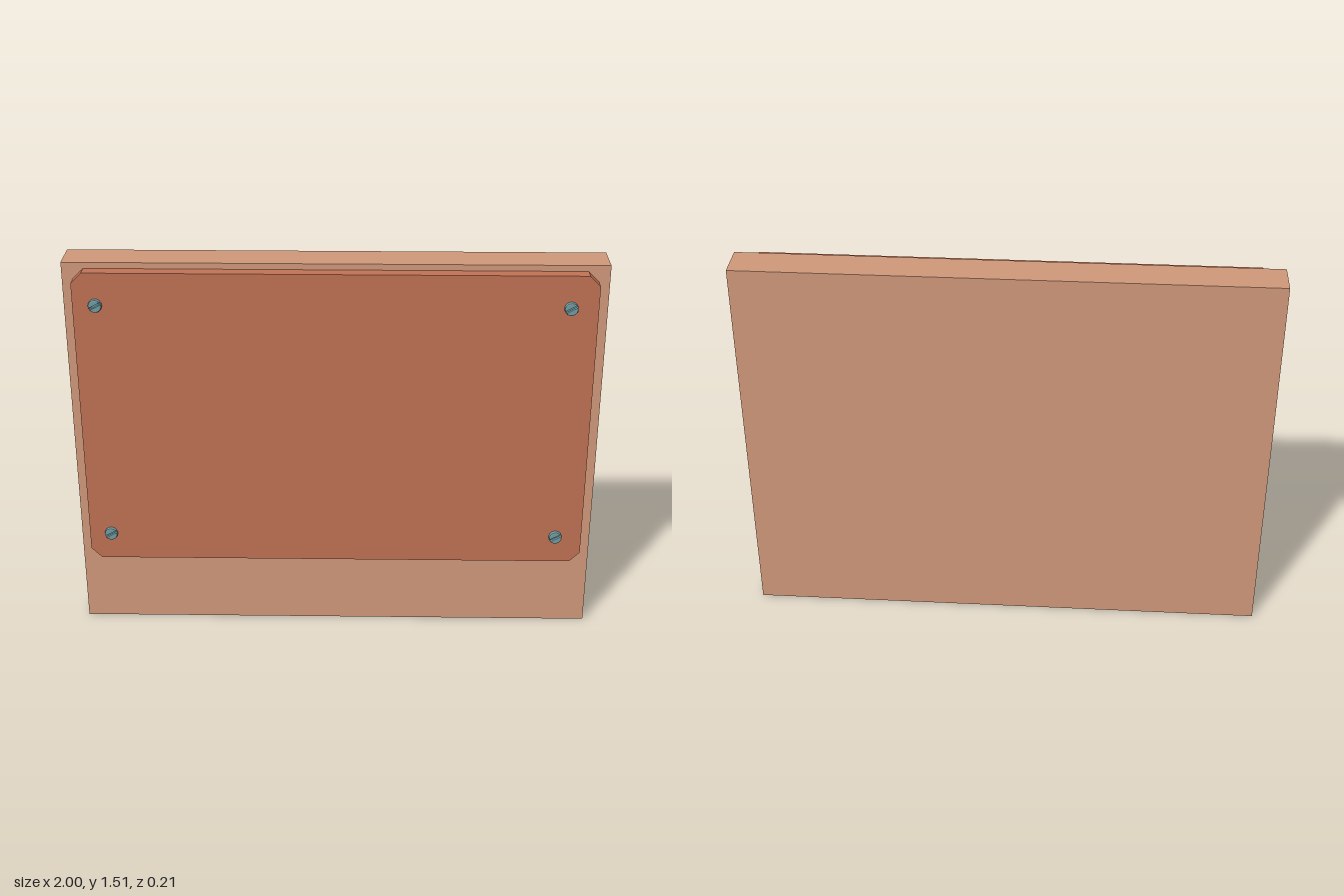
import * as THREE from 'three';

const material = (name, color) => new THREE.MeshStandardMaterial({ name, color });

// Rectangle with cut corners
function cutCornerShape(x0, x1, y0, y1, c) {
  return new THREE.Shape([
    [x0 + c, y0], [x1 - c, y0], [x1, y0 + c], [x1, y1 - c],
    [x1 - c, y1], [x0 + c, y1], [x0, y1 - c], [x0, y0 + c],
  ].map(([x, y]) => new THREE.Vector2(x, y)));
}

// Slotted screw: a low base disc and two bevelled half heads with a gap between
function createScrew(steel) {
  const screw = new THREE.Group();
  screw.name = 'screw';
  const base = new THREE.Mesh(new THREE.CylinderGeometry(0.023, 0.023, 0.01, 20), steel);
  base.name = 'screwBase';
  base.rotation.x = Math.PI / 2;
  screw.add(base);

  const gap = 0.13;
  const half = new THREE.Shape();
  half.absarc(0, 0, 0.025, gap, Math.PI - gap, false);
  half.closePath();
  const headGeometry = new THREE.ExtrudeGeometry(half, {
    depth: 0.01, curveSegments: 12, bevelEnabled: true, bevelSegments: 2,
    bevelThickness: 0.005, bevelSize: 0.005, bevelOffset: -0.005,
  });
  for (const turn of [0, Math.PI]) {
    const head = new THREE.Mesh(headGeometry, steel);
    head.name = 'screwHeadHalf';
    head.rotation.z = turn;
    screw.add(head);
  }
  return screw;
}

export function createModel() {
  const model = new THREE.Group();
  model.name = 'boardWithPlate';
  const wood = material('light wood', 0xcf987a);
  const copper = material('red brown', 0xc07254);
  const steel = material('blue grey steel', 0x6f9ca3);

  // Backing board
  const board = new THREE.Mesh(new THREE.BoxGeometry(2, 1.508, 0.142), wood);
  board.name = 'backingBoard';
  board.position.set(0, 0.754, -0.032);
  model.add(board);

  // Front plate with cut corners
  const plate = new THREE.Mesh(
    new THREE.ExtrudeGeometry(cutCornerShape(-0.96, 0.96, 0.298, 1.485, 0.04), {
      depth: 0.05, bevelEnabled: false,
    }), copper);
  plate.name = 'frontPlate';
  plate.position.z = 0.039;
  model.add(plate);

  // Corner screws
  for (const x of [-0.876, 0.859]) {
    for (const y of [0.409, 1.361]) {
      const screw = createScrew(steel);
      screw.position.set(x, y, 0.089);
      screw.rotation.z = 0.5;
      model.add(screw);
    }
  }
  return model;
}
